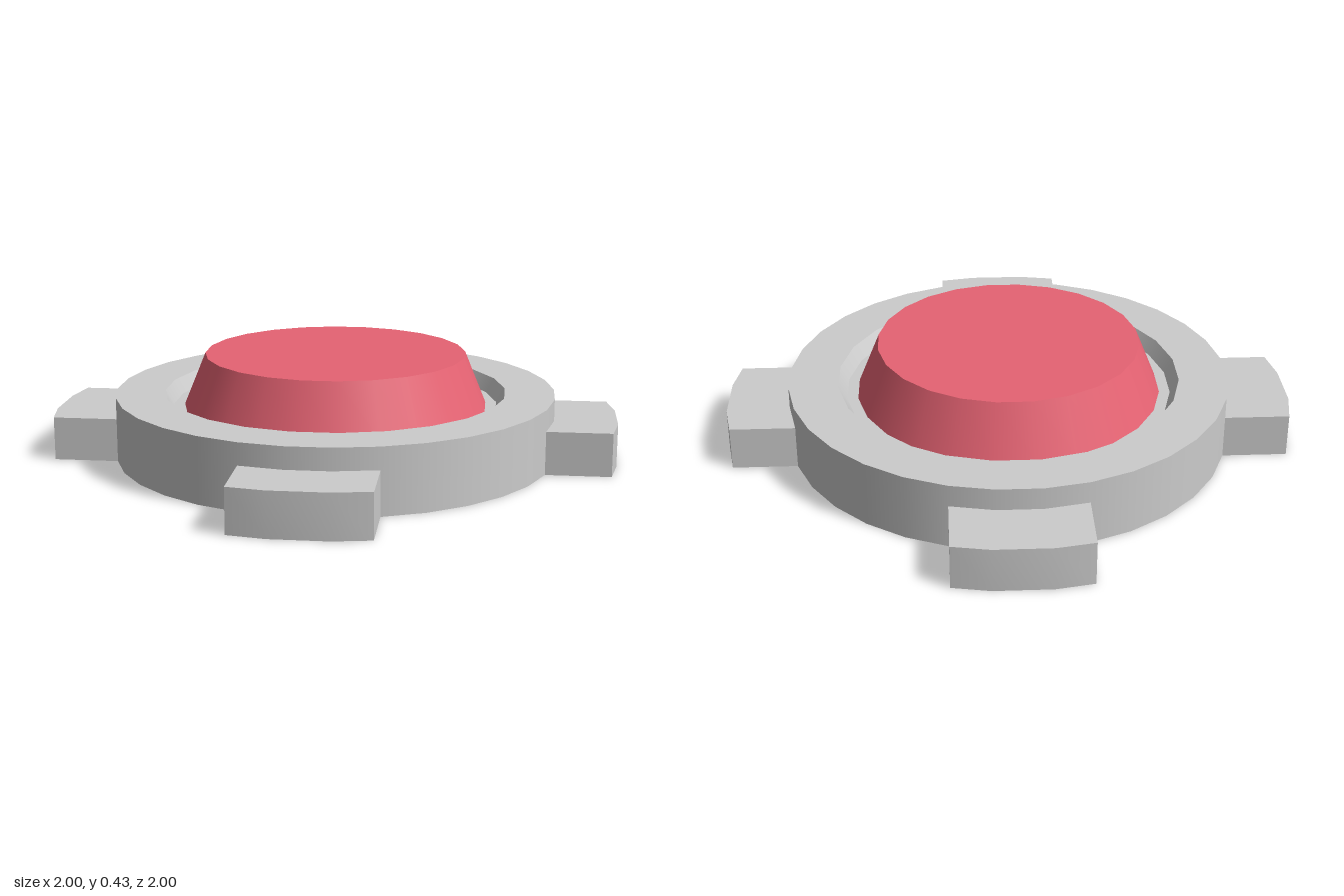
import * as THREE from 'three';

const GREY = new THREE.MeshStandardMaterial({ color: 0xcccccc, side: THREE.DoubleSide });
const RED = new THREE.MeshStandardMaterial({ color: 0xe66373, side: THREE.DoubleSide });
const RING_SIDES = 32, BUTTON_SIDES = 24;
const STEP = (Math.PI * 2) / RING_SIDES;
const RING_R = 0.92, RING_TOP = 0.27, TAB_TOP = 0.18, TAB_R = 1.18;

function add(parent, name, geometry, material = GREY) {
  const mesh = new THREE.Mesh(geometry, material);
  mesh.name = name;
  parent.add(mesh);
  return mesh;
}

// Surface of revolution between two [radius, height] points, a flat side facing front
function band(from, to, sides, start = Math.PI / sides, length = Math.PI * 2) {
  const points = [from, to].map(([r, y]) => new THREE.Vector2(r, y));
  return new THREE.LatheGeometry(points, sides, start, length);
}

// Point on a circle in plan, angle measured from +z
const polar = (r, a) => new THREE.Vector2(r * Math.sin(a), r * Math.cos(a));

function polygon(r, sides) {
  return Array.from({ length: sides }, (_, i) => polar(r, ((i + 0.5) * 2 * Math.PI) / sides));
}

// Horizontal sheet from a plan outline (x, z), facing up
function sheet(outline, y, hole) {
  const flip = (pts) => pts.map((p) => new THREE.Vector2(p.x, -p.y));
  const shape = new THREE.Shape(flip(outline));
  if (hole) shape.holes.push(new THREE.Path(flip(hole)));
  return new THREE.ShapeGeometry(shape).rotateX(-Math.PI / 2).translate(0, y, 0);
}

// Upright wall following plan points (x, z)
function wall(points, height) {
  const positions = [], index = [];
  points.forEach((p, i) => {
    positions.push(p.x, 0, p.y, p.x, height, p.y);
    const a = i * 2;
    if (i < points.length - 1) index.push(a, a + 2, a + 1, a + 2, a + 3, a + 1);
  });
  const geometry = new THREE.BufferGeometry();
  geometry.setAttribute('position', new THREE.Float32BufferAttribute(positions, 3));
  geometry.setIndex(index);
  geometry.computeVertexNormals();
  return geometry;
}

// Hollow locking tab pointing along +z, open below and toward the ring
function makeTab() {
  const tab = new THREE.Group();
  tab.name = 'tab';
  const inner = [-1.5, -0.5, 0.5, 1.5].map((k) => polar(RING_R, k * STEP));
  const half = inner[3].x, cornerZ = 1.147;
  const outer = [
    new THREE.Vector2(-half, cornerZ),
    polar(TAB_R, -STEP / 2),
    polar(TAB_R, STEP / 2),
    new THREE.Vector2(half, cornerZ),
  ];
  add(tab, 'tabTop', sheet([...outer, ...inner.slice().reverse()], TAB_TOP));
  add(tab, 'tabOuterWall', wall(outer, TAB_TOP));
  add(tab, 'tabRightWall', wall([inner[0], outer[0]], TAB_TOP));
  add(tab, 'tabLeftWall', wall([outer[3], inner[3]], TAB_TOP));
  return tab;
}

export function createModel() {
  const model = new THREE.Group();
  model.name = 'buttonCap';

  // Ring: continuous upper wall, lower wall interrupted at the tabs
  const ring = new THREE.Group();
  ring.name = 'ring';
  model.add(ring);
  add(ring, 'ringUpperWall', band([RING_R, TAB_TOP], [RING_R, RING_TOP], RING_SIDES));
  add(ring, 'ringTop', sheet(polygon(RING_R, RING_SIDES), RING_TOP, polygon(0.715, BUTTON_SIDES)));
  for (let i = 0; i < 4; i++) {
    const turn = (i * Math.PI) / 2;
    add(ring, 'ringLowerWall', band([RING_R, 0], [RING_R, TAB_TOP], 5, turn - 2.5 * STEP, 5 * STEP));
    const tab = makeTab();
    tab.rotation.y = turn + Math.PI / 4;
    model.add(tab);
  }

  // Groove around the button
  add(ring, 'grooveWall', band([0.715, RING_TOP], [0.68, 0.21], BUTTON_SIDES));
  add(ring, 'grooveFloor', band([0.68, 0.21], [0.635, 0.21], BUTTON_SIDES));

  // Tapered hollow button
  const button = new THREE.Group();
  button.name = 'button';
  model.add(button);
  add(button, 'buttonSide', band([0.635, 0.21], [0.545, 0.43], BUTTON_SIDES), RED);
  add(button, 'buttonTop', sheet(polygon(0.545, BUTTON_SIDES), 0.43), RED);

  return model;
}
